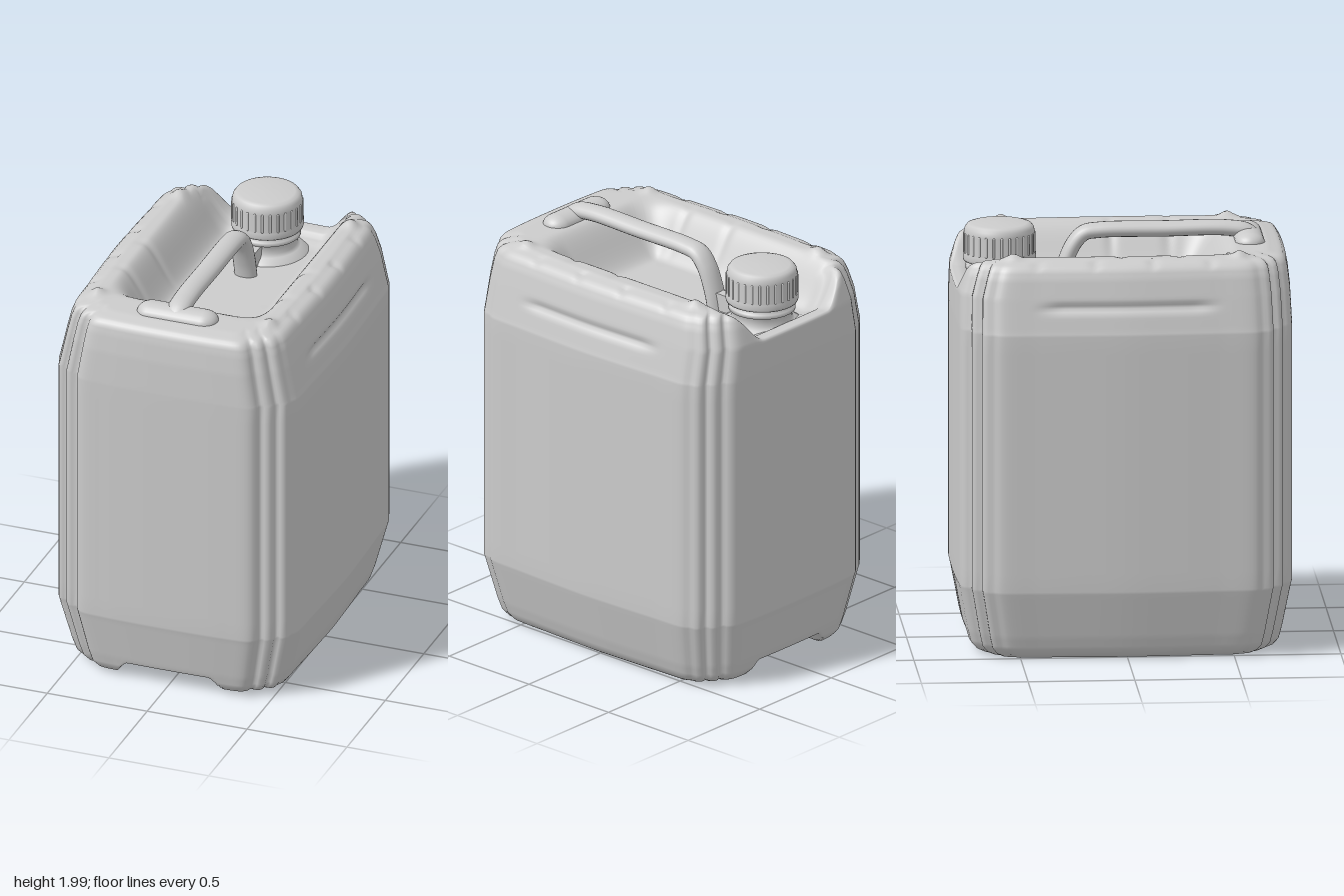
import * as THREE from 'three';

const { smoothstep, lerp } = THREE.MathUtils;
const V3 = (x, y, z) => new THREE.Vector3(x, y, z);
const V2 = (x, y) => new THREE.Vector2(x, y);
const gauss = (d, w) => Math.exp(-(d * d) / (w * w));
const smin = (a, b, k) => {
  const h = Math.max(k - Math.abs(a - b), 0) / k;
  return Math.min(a, b) - h * h * k / 4;
};

// Quarter of the horizontal section: flat front, ribbed chamfer, flat side
const QUARTER = [
  [0, 0.79], [0.15, 0.789], [0.3, 0.784], [0.42, 0.772], [0.447, 0.752], [0.46, 0.722],
  [0.492, 0.73], [0.517, 0.71], [0.521, 0.677], [0.553, 0.683], [0.574, 0.662],
  [0.578, 0.632], [0.596, 0.6], [0.606, 0.42], [0.615, 0.2], [0.62, 0],
];

function outline(count) {
  const q = QUARTER, inner = q.slice(1, -1), pts = [];
  for (const [x, z] of q) pts.push(V3(x, 0, z));
  for (const [x, z] of [...inner].reverse()) pts.push(V3(x, 0, -z));
  for (const [x, z] of q.slice(0, -1)) pts.push(V3(-x, 0, -z));
  pts.push(V3(-0.62, 0, 0));
  for (const [x, z] of [...inner].reverse()) pts.push(V3(-x, 0, z));
  const curve = new THREE.CatmullRomCurve3(pts, true, 'centripetal');
  curve.arcLengthDivisions = 1000;
  return curve.getSpacedPoints(count).slice(0, count);
}

// Wall profile: height, inset at sides, inset at front, inset at back
const WALL = [
  [0.012, 0.13, 0.12, 0.12], [0.03, 0.1, 0.085, 0.085], [0.06, 0.078, 0.06, 0.06],
  [0.12, 0.058, 0.045, 0.045], [0.325, 0.006, 0.006, 0.006], [0.35, 0, 0, 0],
  [1.57, 0, 0, 0], [1.595, 0.007, 0.001, 0], [1.74, 0.04, 0.008, 0.004],
  [1.83, 0.062, 0.018, 0.03], [1.87, 0.078, 0.026, 0.045], [1.895, 0.098, 0.042, 0.06],
  [1.91, 0.125, 0.065, 0.08],
];

// Top deck: raised rim on the sides and front, sunken well open to the back
function topHeight(x, z) {
  const ax = Math.abs(x);
  const side = smoothstep(ax, 0.22, 0.41);
  const front = smoothstep(z, 0.3, 0.53);
  const floor = 1.69 + 0.05 * smoothstep(-z, 0.6, 0.75);
  let y = lerp(floor, 1.91, 1 - (1 - side) * (1 - front));
  for (const c of [-0.53, 0.53]) y += 0.025 * gauss(Math.hypot(ax - 0.43, z - c), 0.035);
  const outer = smoothstep(ax, 0.46, 0.5), inner = gauss(ax - 0.35, 0.07);
  for (const c of [-0.42, -0.15, 0.12, 0.39]) y -= 0.018 * outer * gauss(z - c, 0.025);
  for (const c of [-0.02, 0.25]) y -= 0.014 * inner * gauss(z - c, 0.025);
  return y;
}

// Underside: shallow central channel, wider finger scoops at front and back
function bottomHeight(x, z) {
  const end = smoothstep(Math.abs(z), 0.42, 0.58);
  const half = lerp(0.07, 0.2, end);
  const channel = 1 - smoothstep(Math.abs(x), half, half + 0.09);
  const belly = 0.03 * (1 - smoothstep(Math.abs(x), 0.25, 0.35)) * (1 - end);
  return 0.012 + Math.max(0.085 * channel, belly);
}

function bodyGeometry() {
  const N = 320, base = outline(N), pos = [], index = [];
  let rings = 0;
  const inset = (p, [, ix, f, b]) => [
    p.x * (1 - ix / 0.62), p.z * (1 - (p.z > 0 ? f : b) / 0.79)];
  const addRing = (fn) => { for (const p of base) pos.push(...fn(p)); rings++; };

  // underside, from the centre outwards
  for (let i = 0; i < 34; i++) addRing((p) => {
    const [x, z] = inset(p, WALL[0]);
    const s = i / 34;
    return [x * s, bottomHeight(x * s, z * s), z * s];
  });
  // walls
  for (let k = 0; k < WALL.length - 1; k++) {
    const a = WALL[k], b = WALL[k + 1];
    const steps = Math.max(2, Math.min(14, Math.ceil((b[0] - a[0]) / 0.015)));
    for (let i = 0; i < steps + (k === WALL.length - 2 ? 1 : 0); i++) {
      const row = a.map((v, j) => lerp(v, b[j], i / steps));
      addRing((p) => {
        let [x, z] = inset(p, row);
        // long pressed slot high on each side
        const slot = gauss(row[0] - 1.7, 0.018) * (1 - smoothstep(Math.abs(z), 0.3, 0.46));
        if (Math.abs(x) > 0.5) x -= Math.sign(x) * 0.018 * slot;
        const y = row[0] > 1.58 ? smin(row[0], topHeight(x, z), 0.04) : row[0];
        return [x, Math.max(y, row[0] < 0.3 ? bottomHeight(x, z) : 0), z];
      });
    }
  }
  // top deck, from the edge inwards
  for (let i = 1; i <= 44; i++) addRing((p) => {
    const [x, z] = inset(p, WALL[WALL.length - 1]);
    const s = 1 - i / 44;
    return [x * s, topHeight(x * s, z * s) - 0.01 * smoothstep(s, 0.93, 1), z * s];
  });

  for (let r = 0; r < rings - 1; r++) for (let j = 0; j < N; j++) {
    const k = (j + 1) % N, a = r * N + j, b = r * N + k;
    index.push(a, b, b + N, a, b + N, a + N);
  }
  const g = new THREE.BufferGeometry();
  g.setAttribute('position', new THREE.Float32BufferAttribute(pos, 3));
  g.setIndex(index);
  g.computeVertexNormals();
  return g;
}

export function createModel() {
  const group = new THREE.Group();
  const mat = new THREE.MeshStandardMaterial({ color: 0xcccccc, roughness: 0.7 });
  const add = (name, geo, x = 0, y = 0, z = 0) => {
    const m = new THREE.Mesh(geo, mat);
    m.name = name;
    m.position.set(x, y, z);
    group.add(m);
    return m;
  };

  add('canisterBody', bodyGeometry());

  // carrying handle: flattened bar rising from the front rim, bent down at the back
  const path = new THREE.CatmullRomCurve3([
    V3(0, 1.86, 0.66), V3(0, 1.93, 0.6), V3(0, 1.95, 0.5), V3(0, 1.95, 0.2), V3(0, 1.948, -0.1),
    V3(0, 1.935, -0.17), V3(0, 1.88, -0.22), V3(0, 1.77, -0.265), V3(0, 1.66, -0.29),
  ]);
  add('handle', new THREE.TubeGeometry(path, 80, 0.037, 20).scale(1.5, 1, 1));

  // cross-shaped root of the handle on the front rim
  const root = new THREE.CapsuleGeometry(0.07, 0.26, 10, 24).rotateZ(Math.PI / 2).scale(1, 0.7, 1);
  add('handleRoot', root, 0, 1.905, 0.6);

  // web joining the handle to the neck
  add('handleWeb', new THREE.BoxGeometry(0.05, 0.12, 0.18), 0, 1.715, -0.36);

  // neck with flared foot and collar
  const neck = [[0.21, 1.66], [0.19, 1.7], [0.155, 1.715], [0.142, 1.73], [0.14, 1.77],
    [0.158, 1.775], [0.158, 1.795], [0.14, 1.8], [0.14, 1.84]].map((p) => V2(...p));
  add('neck', new THREE.LatheGeometry(neck, 64), 0, 0, -0.565);

  // screw cap
  const cap = [[0.13, 1.815], [0.168, 1.815], [0.171, 1.825], [0.171, 1.85], [0.166, 1.855],
    [0.166, 1.945], [0.162, 1.97], [0.15, 1.986], [0.13, 1.992], [0.06, 1.997], [0, 1.998]];
  add('cap', new THREE.LatheGeometry(cap.map((p) => V2(...p)), 64), 0, 0, -0.565);

  // grip ribs around the cap
  for (let i = 0; i < 28; i++) {
    const a = (i / 28) * Math.PI * 2;
    const rib = add('capRib', new THREE.CapsuleGeometry(0.007, 0.085, 3, 6),
      Math.sin(a) * 0.164, 1.9, -0.565 + Math.cos(a) * 0.164);
    rib.rotation.y = a;
  }
  return group;
}
